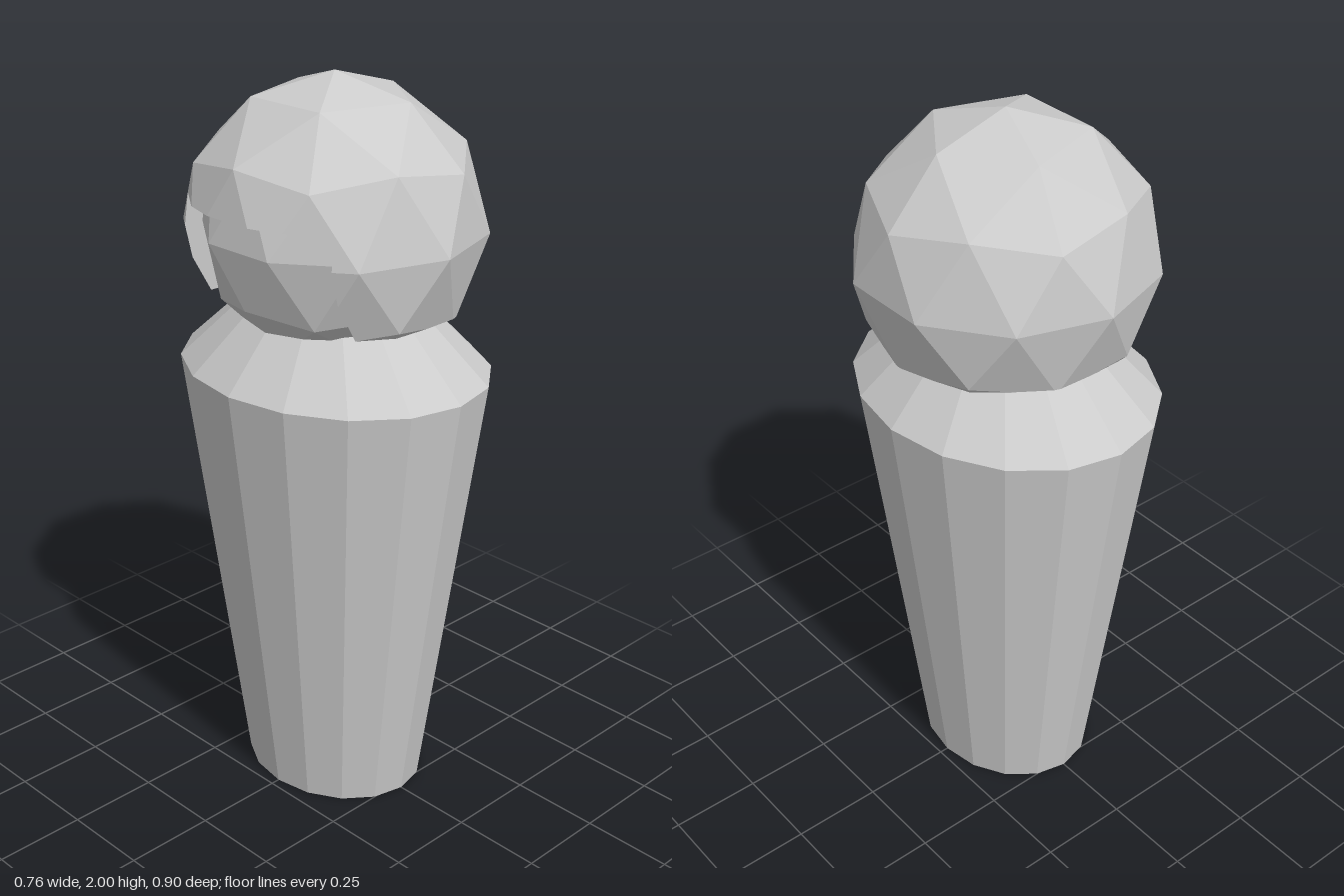
import * as THREE from 'three';

const SIDES = 16, HEAD_Y = 1.6, HEM = 1.405, BROW = 1.685, CHEEK = 0.27;
const X = new THREE.Vector3(1, 0, 0), Y = new THREE.Vector3(0, 1, 0), Z = new THREE.Vector3(0, 0, 1);

// Faceted ball with one of its five-sided corners pointing up
function ball(radius) {
  const g = new THREE.IcosahedronGeometry(radius, 1);
  g.rotateZ(-Math.atan(2 / (1 + Math.sqrt(5))));
  g.translate(0, HEAD_Y, 0);
  return g;
}

// Triangles of a non-indexed geometry as lists of corners
function toPolygons(g) {
  const p = g.attributes.position, polys = [];
  for (let i = 0; i < p.count; i += 3) {
    polys.push([0, 1, 2].map((k) => new THREE.Vector3().fromBufferAttribute(p, i + k)));
  }
  return polys;
}

// Keep the part of a convex solid where sign * (axis . p - at) >= 0, and cap the cut
function slice(polys, axis, sign, at) {
  const dist = (p) => sign * (p.dot(axis) - at);
  const kept = [], rim = [];
  for (const poly of polys) {
    const out = [];
    poly.forEach((a, i) => {
      const b = poly[(i + 1) % poly.length], da = dist(a), db = dist(b);
      if (da >= -1e-9) out.push(a);
      if ((da > 1e-9 && db < -1e-9) || (da < -1e-9 && db > 1e-9)) {
        out.push(a.clone().lerp(b, da / (da - db)));
      }
    });
    if (out.length < 3) continue;
    kept.push(out);
    for (const p of out) {
      if (Math.abs(dist(p)) < 1e-7 && !rim.some((q) => q.distanceTo(p) < 1e-5)) rim.push(p);
    }
  }
  if (rim.length > 2) {
    const normal = axis.clone().multiplyScalar(-sign);
    const u = axis === X ? Y : X, v = normal.clone().cross(u);
    const mid = rim.reduce((s, p) => s.add(p), new THREE.Vector3()).divideScalar(rim.length);
    const angle = (p) => {
      const d = p.clone().sub(mid);
      return Math.atan2(d.dot(v), d.dot(u));
    };
    kept.push(rim.sort((a, b) => angle(a) - angle(b)));
  }
  return kept;
}

function toGeometry(polys) {
  const pts = [];
  for (const poly of polys) {
    for (let i = 1; i < poly.length - 1; i++) pts.push(poly[0], poly[i], poly[i + 1]);
  }
  const g = new THREE.BufferGeometry().setFromPoints(pts);
  g.computeVertexNormals();
  return g;
}

export function createModel() {
  const model = new THREE.Group();
  const material = new THREE.MeshStandardMaterial({ color: 0xcccccc, flatShading: true });
  const add = (name, geometry, parent = model) => {
    const mesh = new THREE.Mesh(geometry, material);
    mesh.name = name;
    parent.add(mesh);
  };

  // Oval tapered body and sloping shoulders
  const taper = (top, bottom, y0, y1, open) => new THREE.CylinderGeometry(top, bottom, y1 - y0, SIDES, 1, open)
    .translate(0, (y0 + y1) / 2, 0).scale(0.375, 1, 0.45);
  add('body', taper(1, 0.6, 0, 1.23, false));
  add('shoulders', taper(0.58, 1, 1.23, 1.4, true));

  // Head, seen through the opening of the hood
  add('head', ball(0.35));

  // Hood: a larger ball cut flat at the hem, with a face opening towards -x
  const hood = new THREE.Group();
  hood.name = 'hood';
  model.add(hood);
  const shell = toPolygons(ball(0.4));
  add('hoodCrown', toGeometry(slice(shell, Y, 1, BROW)), hood);
  const skirt = slice(slice(shell, Y, -1, BROW), Y, 1, HEM);
  add('hoodBack', toGeometry(slice(skirt, X, 1, 0)), hood);
  const front = slice(skirt, X, -1, 0);
  for (const side of [1, -1]) {
    add(side > 0 ? 'hoodCheekA' : 'hoodCheekB', toGeometry(slice(front, Z, side, side * CHEEK)), hood);
  }
  return model;
}
